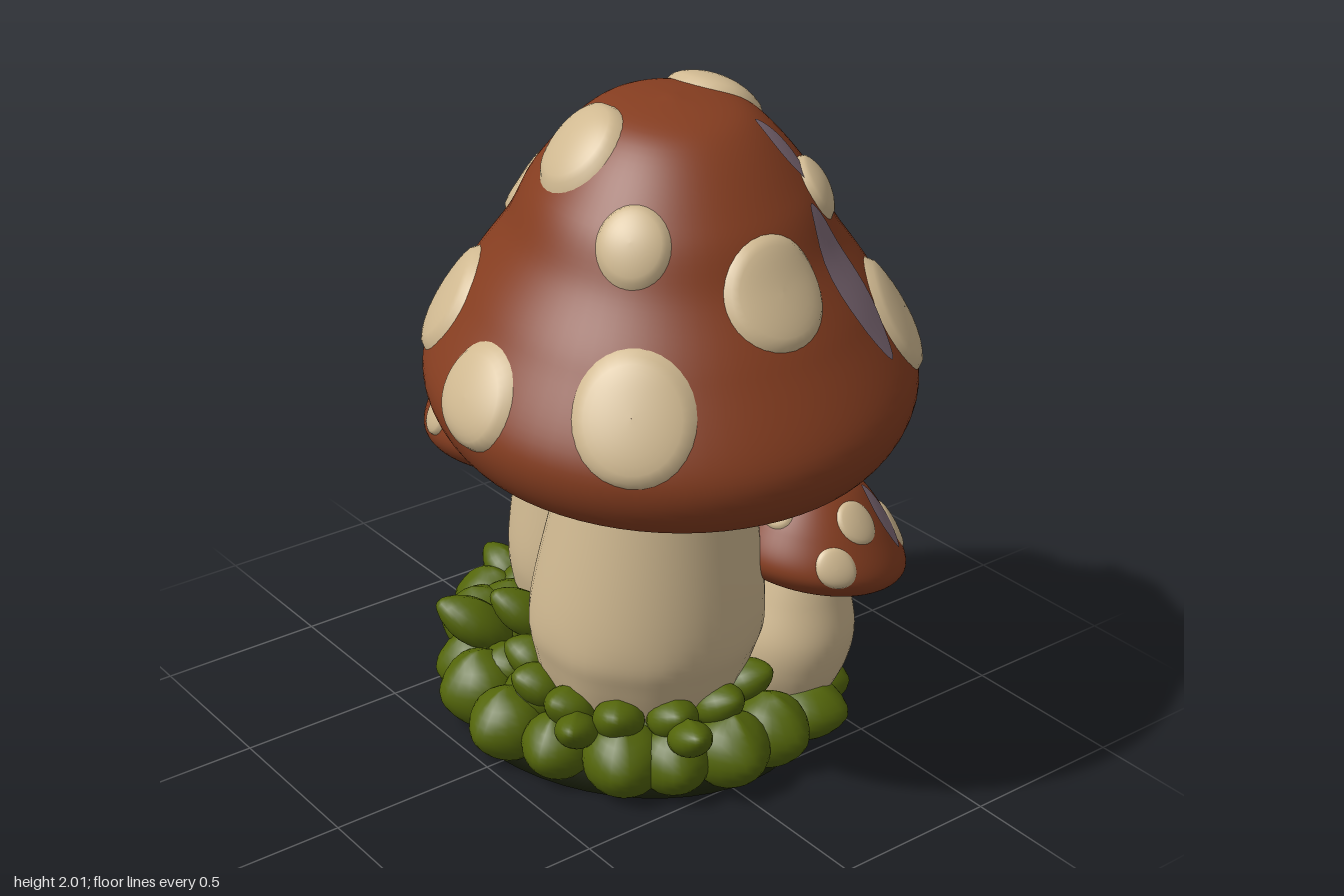
import * as THREE from 'three';
import { mergeVertices, mergeGeometries } from 'three/addons/utils/BufferGeometryUtils.js';

const V = (x, y, z) => new THREE.Vector3(x, y, z);
const spline = pts => new THREE.SplineCurve(pts.map(p => new THREE.Vector2(...p)));
const { lerp, clamp, degToRad } = THREE.MathUtils;
const material = (name, color) => {
  const m = new THREE.MeshStandardMaterial({ color });
  m.name = name;
  return m;
};

let seed = 7;
const rnd = (a, b) => {
  seed = (seed * 16807) % 2147483647;
  return a + (b - a) * (seed / 2147483647);
};

// Cap outlines as radius and height, for a rim radius of 1
const BELL = [[0, 1.035], [0.3, 0.975], [0.54, 0.73], [0.66, 0.51], [0.82, 0.28], [0.99, -0.03], [0.93, -0.25], [0.78, -0.3],
  [0.3, -0.21], [0, -0.18]];
const DOME = [[0, 0.855], [0.28, 0.83], [0.54, 0.68], [0.84, 0.26], [1, -0.15], [0.77, -0.385], [0.45, -0.33], [0, -0.23]];

// Moves every vertex by a rule, then welds seams and smooths the normals
function reshape(geometry, rule) {
  geometry.deleteAttribute('uv');
  geometry.deleteAttribute('normal');
  const pos = geometry.attributes.position;
  for (let i = 0; i < pos.count; i++) {
    const p = rule(V(0, 0, 0).fromBufferAttribute(pos, i));
    pos.setXYZ(i, p.x, p.y, p.z);
  }
  const welded = mergeVertices(geometry, 1e-5);
  welded.computeVertexNormals();
  return welded;
}

// Cap surface: distance from the cap's inner centre for each direction, sheared by a tilt
function capSurface(profile, radius, tiltX, tiltZ) {
  const table = spline(profile).getPoints(200).map(p => [Math.atan2(Math.max(p.x, 0), p.y), p.length() * radius]);
  return (dir, lift = 0) => {
    const phi = Math.acos(clamp(dir.y, -1, 1));
    let i = 1;
    while (i < table.length - 1 && table[i][0] < phi) i++;
    const [a, ra] = table[i - 1], [b, rb] = table[i];
    const t = clamp((phi - a) / Math.max(b - a, 1e-6), 0, 1);
    const p = dir.clone().multiplyScalar(lerp(ra, rb, t) + lift);
    p.y += tiltX * p.x + tiltZ * p.z;
    return p;
  };
}

// Patch lying on a cap: azimuth from the front, angle from the apex, half width, half height
function patch(surface, [azimuth, polar, rx, ry = rx], lift, pointed) {
  const d = V(0, 0, 0).setFromSphericalCoords(1, degToRad(polar), degToRad(azimuth));
  const size = surface(d).length();
  const east = V(0, 1, 0).cross(d).normalize();
  const north = d.clone().cross(east);
  return reshape(new THREE.RingGeometry(0.002, 1, 32, 8), v => {
    const rho = Math.min(1, Math.hypot(v.x, v.y));
    const taper = pointed ? 1 - 0.4 * v.y * v.y : 1;
    const dir = d.clone().multiplyScalar(size).addScaledVector(east, v.x * rx * taper).addScaledVector(north, v.y * ry);
    return surface(dir.normalize(), lift(rho));
  });
}

function buildMushroom(name, mats, { centre, radius, profile, tilt, stem, foot, neck, spots, sheen }) {
  const group = new THREE.Group();
  group.name = name;
  const add = (part, geometry, mat, at = [0, 0, 0]) => {
    const mesh = new THREE.Mesh(geometry, mat);
    mesh.name = part;
    mesh.position.set(...at);
    group.add(mesh);
  };

  // Leaning, swollen stem with soft lobes at the foot
  const { belly, bellyY, top, height } = stem;
  const outline = spline([[belly * 0.72, 0.09], [belly * 0.94, bellyY * 0.65], [belly, bellyY],
    [lerp(top, belly, 0.48), lerp(bellyY, height, 0.55)], [top, height]]);
  add('stem', reshape(new THREE.LatheGeometry(outline.getPoints(32), 48), v => {
    const t = v.y / height;
    const lobes = 1 + 0.03 * Math.max(0, 1 - t * 2.5) * Math.cos(9 * Math.atan2(v.z, v.x));
    return V(v.x * lobes + lerp(foot[0], neck[0], t), v.y, v.z * lobes + lerp(foot[1], neck[1], t));
  }), mats.cream);

  // Cap, raised spots and painted sheen
  const surface = capSurface(profile, radius, ...tilt);
  add('cap', reshape(new THREE.SphereGeometry(1, 72, 96), v => surface(v.normalize())), mats.cap, centre);
  const dome = rho => 0.048 * radius * Math.sqrt(1 - rho * rho) - 0.001;
  for (const s of spots) add('capSpot', patch(surface, s, dome, false), mats.cream, centre);
  for (const s of sheen) add('capSheen', patch(surface, s, () => 0.005, true), mats.sheen, centre);
  return group;
}

// Plump leaf pointing outward, flattened where it meets the ground
function leaf(x, y, z, length, width, thick, yaw, pitch) {
  const matrix = new THREE.Matrix4().compose(V(x, y, z),
    new THREE.Quaternion().setFromEuler(new THREE.Euler(0, -yaw, pitch, 'YXZ')), V(length, thick, width));
  return reshape(new THREE.SphereGeometry(1, 20, 14), v => {
    const taper = v.x > 0 ? 1 - 0.3 * v.x * v.x : 1;
    const ridge = 1 + 0.1 * Math.max(0, 1 - Math.abs(v.z) * 4) * Math.max(0, v.y);
    const p = V(v.x, v.y * taper * ridge, v.z * taper).applyMatrix4(matrix);
    p.y = Math.max(0, p.y);
    return p;
  });
}

function buildFoliage(leafMat, soilMat) {
  const group = new THREE.Group();
  group.name = 'foliage';
  const cx = 0.07, cz = -0.1, leaves = [];
  const toSmallStem = (x, z) => Math.hypot(x - 0.38, z - 0.275);
  // Egg-shaped plan, narrower toward the back
  const plan = (a, scale) => [cx + 0.49 * scale * Math.cos(a) * (1 - 0.38 * Math.max(0, -Math.sin(a))),
    cz + 0.58 * scale * Math.sin(a)];

  // Three rings of leaves, smaller and steeper toward the middle
  for (let ring = 0; ring < 3; ring++) {
    const n = 19 - ring * 4, scale = 1 - ring * 0.2;
    for (let i = 0; i < n; i++) {
      const a = (i + rnd(-0.2, 0.2)) / n * Math.PI * 2, k = rnd(0.88, 1.08);
      const inner = plan(a, scale);
      const near = toSmallStem(...inner) < 0.26;
      if (near && ring) continue;
      const [x, z] = near ? plan(a, 1.06) : inner;
      leaves.push(leaf(x, near ? 0.08 : ring ? 0.172 : 0.108, z, 0.125 * scale * Math.min(k, 1), 0.118 * scale * k,
        near ? 0.085 : (ring ? 0.07 : 0.112) * k, a, ring * 0.2));
    }
  }
  // Buds around the foot of the large stem
  for (let i = 0; i < 13; i++) {
    const a = i / 13 * Math.PI * 2, x = -0.02 + 0.32 * Math.cos(a), z = 0.1 + 0.32 * Math.sin(a);
    if (toSmallStem(x, z) > 0.22) leaves.push(leaf(x, 0.23, z, 0.09, 0.075, 0.06, a, 0.5));
  }
  // Larger sprigs: position and length; higher ones stand more upright
  const sprigs = [[0.34, 0.42, -0.09, 0.15], [0.4, 0.32, -0.16, 0.14], [0.36, 0.34, 0.02, 0.12], [0.56, 0.18, 0.07, 0.11],
    [0.55, 0.2, -0.1, 0.13], [-0.31, 0.26, -0.34, 0.13], [-0.2, 0.3, -0.24, 0.12], [0.36, 0.22, -0.56, 0.1],
    [0.22, 0.18, -0.68, 0.1], [0.02, 0.2, -0.66, 0.1], [-0.15, 0.22, 0.5, 0.1], [-0.36, 0.2, 0.25, 0.1]];
  for (const [x, y, z, size] of sprigs) {
    leaves.push(leaf(x, y, z, size, size * 0.62, size * 0.52, Math.atan2(z - cz, x - cx), y * 2.2));
  }

  // Dark solid mound under the leaves
  const soil = reshape(new THREE.CylinderGeometry(0.8, 1.06, 0.17, 48).toNonIndexed(), v => {
    const [x, z] = plan(Math.atan2(v.z, v.x), Math.hypot(v.x, v.z));
    return V(x, v.y + 0.085, z);
  });
  for (const [part, geometry, mat] of [['leaves', mergeGeometries(leaves), leafMat], ['groundMound', soil, soilMat]]) {
    const mesh = new THREE.Mesh(geometry, mat);
    mesh.name = part;
    group.add(mesh);
  }
  return group;
}

export function createModel() {
  const mats = {
    cap: material('cap russet', 0x853d20),
    cream: material('cream', 0xd0b991),
    sheen: material('mauve sheen', 0x7c6874),
  };
  const model = new THREE.Group();
  model.name = 'mushroomCluster';
  model.add(buildMushroom('largeMushroom', mats, {
    centre: [-0.03, 1.3, 0.243], radius: 0.673, profile: BELL, tilt: [0.05, -0.1],
    stem: { belly: 0.338, bellyY: 0.48, top: 0.21, height: 1.2 }, foot: [-0.02, 0.09], neck: [-0.03, 0.21],
    spots: [[-2, 53, 0.145, 0.135], [-47, 78, 0.16], [51, 78, 0.155], [-53, 40, 0.095], [49, 39, 0.085], [112, 21, 0.145],
      [-106, 24, 0.135], [-163, 53, 0.13], [137, 70, 0.138], [-127, 77, 0.15], [94, 74, 0.09], [-90, 85, 0.135],
      [177, 89, 0.1], [114, 42, 0.045], [124, 88, 0.06, 0.03]],
    sheen: [[42, 27, 0.035, 0.1], [31, 60, 0.068, 0.215]],
  }));
  model.add(buildMushroom('mediumMushroom', mats, {
    centre: [0.14, 0.85, -0.49], radius: 0.43, profile: DOME, tilt: [0, 0.16],
    stem: { belly: 0.22, bellyY: 0.38, top: 0.17, height: 0.78 }, foot: [0.13, -0.4], neck: [0.14, -0.43],
    spots: [[53, 60, 0.125], [87, 85, 0.068], [132, 76, 0.125], [128, 18, 0.115], [-163, 51, 0.132], [-72, 47, 0.1],
      [-102, 88, 0.068], [-59, 80, 0.1], [117, 46, 0.028], [0, 74, 0.1]],
    sheen: [],
  }));
  model.add(buildMushroom('smallMushroom', mats, {
    centre: [0.435, 0.6, 0.33], radius: 0.27, profile: DOME, tilt: [-0.19, 0],
    stem: { belly: 0.182, bellyY: 0.31, top: 0.125, height: 0.54 }, foot: [0.38, 0.275], neck: [0.41, 0.31],
    spots: [[-3, 57, 0.068], [-27, 88, 0.062], [59, 73, 0.073], [119, 80, 0.053], [101, 26, 0.075], [128, 50, 0.02],
      [-117, 79, 0.068], [-171, 65, 0.065], [-74, 59, 0.053]],
    sheen: [[34, 58, 0.036, 0.1]],
  }));
  model.add(buildFoliage(material('leaf green', 0x53650a), material('shaded moss', 0x222a08)));
  return model;
}
